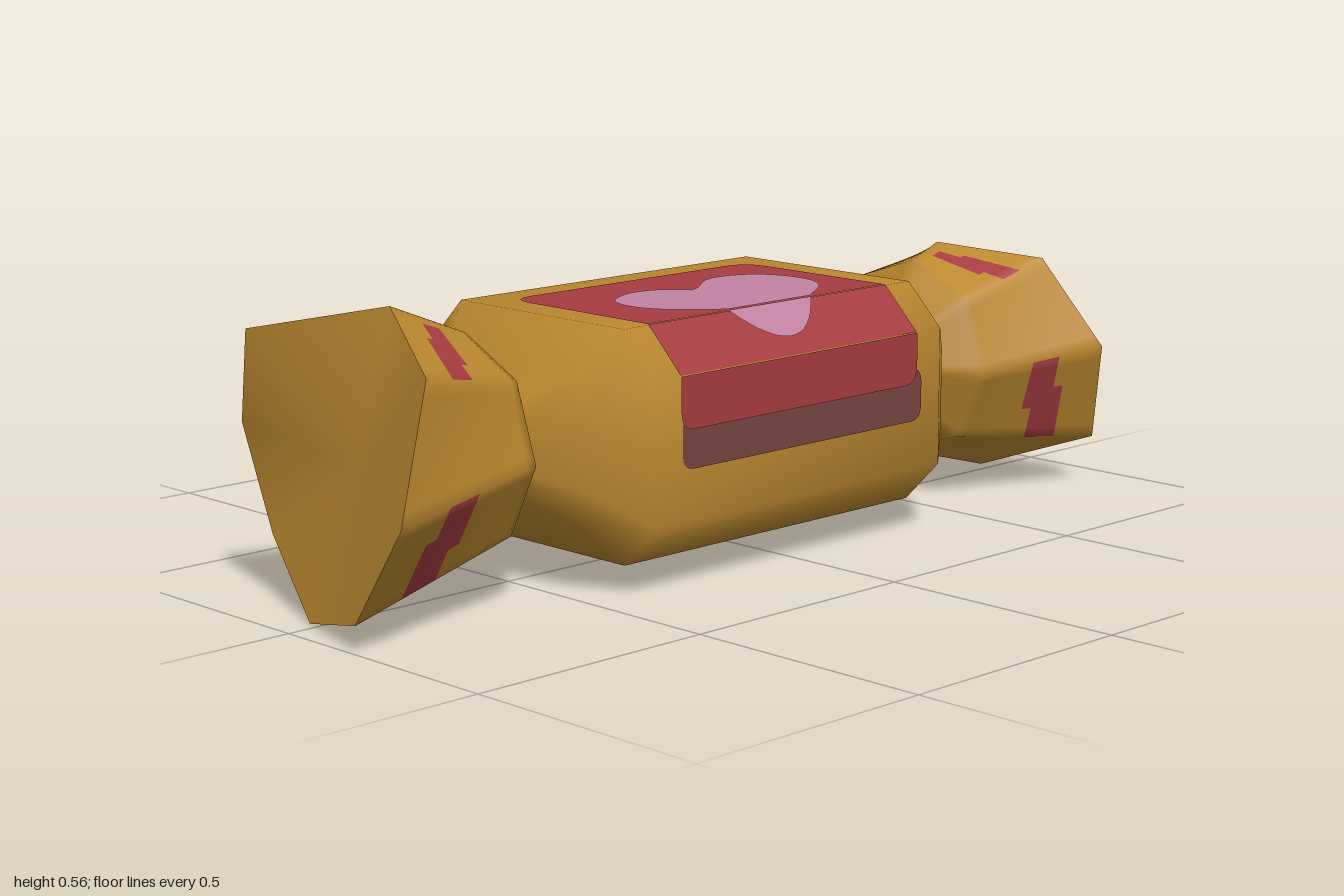
import * as THREE from 'three';

const material = (name, color, side = THREE.FrontSide) => {
  const m = new THREE.MeshStandardMaterial({ color, side });
  m.name = name;
  return m;
};
const gold = material('gold wrapper', 0xbb882f);
const red = material('red label', 0xa63c41);
const pink = material('pink print', 0xc282a4);
const shade = material('dark label border', 0x764340);

// Skin between rings of points, split in two materials by a rule
function loft(rings, flip, isMarked = () => false) {
  const n = rings[0].length, plain = [], marked = [];
  for (let j = 0; j < rings.length - 1; j++) {
    for (let i = 0; i < n; i++) {
      const k = (i + 1) % n;
      const a = j * n + i, b = j * n + k, c = a + n, d = b + n;
      const quad = flip ? [a, c, b, b, c, d] : [a, b, c, b, d, c];
      (isMarked(i, j) ? marked : plain).push(...quad);
    }
  }
  const g = new THREE.BufferGeometry();
  g.setAttribute('position', new THREE.Float32BufferAttribute(rings.flat(2), 3));
  g.setIndex([...plain, ...marked]);
  g.addGroup(0, plain.length, 0);
  g.addGroup(plain.length, marked.length, 1);
  g.computeVertexNormals();
  return g;
}

function addMesh(parent, name, geometry, mat) {
  const m = new THREE.Mesh(geometry, mat);
  m.name = name;
  parent.add(m);
  return m;
}

const CY = 0.269, CZ = -0.006, HY = 0.216, HZ = 0.304, CH = 0.082;

// Chamfered rectangle ring, running from +y towards +z
function bodyRing([x, hy, hz, c]) {
  const q = [[hy, hz - c], [hy - c, hz], [c - hy, hz], [-hy, hz - c],
    [-hy, c - hz], [c - hy, -hz], [hy - c, -hz], [hy, c - hz]];
  return q.map(([y, z]) => [x, CY + y, CZ + z]);
}

// Wrapper end: rim of eight points, folded inwards at the opening
function tail(name, dir, neckX, shoulderX, rim, capCentre) {
  const group = new THREE.Group();
  group.name = name;
  const SUB = 8, STEPS = 14, n = rim.length;
  const lerp = (a, b, t) => a.map((v, i) => v + (b[i] - v) * t);
  const circle = (x, ry, rz) => rim.map((_, i) => {
    const a = (i / n) * Math.PI * 2 + 0.07;
    return [x, 0.283 + ry * Math.cos(a), 0.017 + rz * Math.sin(a)];
  });
  const subdivide = ring => ring.flatMap((p, i) =>
    Array.from({ length: SUB }, (_, s) => lerp(p, ring[(i + 1) % n], s / SUB)));
  const shoulder = subdivide(circle(shoulderX, 0.2, 0.2));
  const edge = subdivide(rim);
  const rings = [subdivide(circle(neckX, 0.07, 0.08))];
  for (let t = 0; t <= STEPS; t++) {
    rings.push(shoulder.map((p, i) => lerp(p, edge[i], t / STEPS)));
  }
  // Four slanted dashes around the skirt
  const isDash = (i, j) => [0.55, 2.5, 4.55, 6.65].some(c => {
    const ds = (i + 0.5) / SUB - c, t = (j - 0.5) / STEPS;
    return Math.abs(ds) < 0.44 && Math.abs(t - 0.57 - ds * 0.08) < 0.12;
  });
  addMesh(group, 'skirt', loft(rings, dir < 0, isDash), [gold, red]);

  const cap = new THREE.BufferGeometry();
  cap.setAttribute('position', new THREE.Float32BufferAttribute([...rim, capCentre].flat(), 3));
  cap.setIndex(rim.flatMap((_, i) => {
    const k = (i + 1) % n;
    return dir > 0 ? [n, i, k] : [n, k, i];
  }));
  cap.computeVertexNormals();
  addMesh(group, 'foldedEnd', cap, gold);
  return group;
}

// Rectangle with separate rounding for its top and bottom corners
function rect(x0, x1, y0, y1, top = 0, bottom = 0) {
  const s = new THREE.Shape();
  s.moveTo(x0 + bottom, y0);
  s.lineTo(x1 - bottom, y0);
  s.quadraticCurveTo(x1, y0, x1, y0 + bottom);
  s.lineTo(x1, y1 - top);
  s.quadraticCurveTo(x1, y1, x1 - top, y1);
  s.lineTo(x0 + top, y1);
  s.quadraticCurveTo(x0, y1, x0, y1 - top);
  s.lineTo(x0, y0 + bottom);
  s.quadraticCurveTo(x0, y0, x0 + bottom, y0);
  return s;
}

// Flat print laid on the top, chamfer or front of the body
function print(parent, name, shape, mat, where, lift) {
  const g = new THREE.ShapeGeometry(shape, 16);
  g.translate(0, 0, lift);
  if (where === 'top') g.rotateX(-Math.PI / 2).translate(0, HY, 0);
  if (where === 'chamfer') g.rotateX(-Math.PI / 4).translate(0, HY - CH / 2, HZ - CH / 2);
  if (where === 'front') g.translate(0, 0, HZ);
  addMesh(parent, name, g, mat);
}

const FOLD = -(HZ - CH), HALF = CH * Math.SQRT1_2;

function label(name, depth) {
  const g = new THREE.Group();
  g.name = name;
  g.position.set(0, CY, CZ);
  print(g, 'labelFace', rect(-0.35, 0.28, FOLD, depth, 0.06), red, 'top', 0.002);
  print(g, 'labelFold', rect(-0.35, 0.28, -HALF, HALF), red, 'chamfer', 0.002);
  print(g, 'labelBorder', rect(-0.345, 0.295, -0.038, 0.065, 0.03, 0.03), shade, 'front', 0.002);
  print(g, 'labelSkirt', rect(-0.35, 0.28, 0.035, HY - CH, 0, 0.035), red, 'front', 0.004);
  return g;
}

export function createModel() {
  const model = new THREE.Group();
  model.name = 'wrappedSweet';

  // Body
  const sections = [[-0.55, 0.07, 0.08, 0.03], [-0.49, 0.135, 0.24, 0.06], [-0.41, HY, HZ, CH],
    [0.35, HY, HZ, CH], [0.43, 0.135, 0.24, 0.06], [0.49, 0.07, 0.08, 0.03]];
  addMesh(model, 'body', loft(sections.map(bodyRing), false), [gold, red]);

  // Twisted ends
  model.add(tail('leftTail', 1, 0.488, 0.572, [
    [0.68, 0.505, 0.0], [0.79, 0.48, 0.19], [0.85, 0.303, 0.303], [0.905, 0.098, 0.24],
    [0.78, 0.027, 0.045], [0.955, 0.063, -0.158], [1.0, 0.255, -0.258], [0.905, 0.452, -0.185],
  ], [0.79, 0.265, 0.015]));
  model.add(tail('rightTail', -1, -0.546, -0.62, [
    [-0.82, 0.558, 0.07], [-0.905, 0.47, 0.268], [-1.0, 0.235, 0.312], [-1.0, 0.05, 0.185],
    [-0.935, 0.0, -0.025], [-0.88, 0.12, -0.2], [-0.9, 0.32, -0.255], [-0.965, 0.51, -0.147],
  ], [-0.87, 0.28, 0.03]));

  // Upper label with a heart running over the fold
  const upper = label('upperLabel', 0.154);
  const heart = new THREE.Shape();
  heart.moveTo(0.07, FOLD);
  heart.bezierCurveTo(0.15, -0.17, 0.21, -0.14, 0.21, -0.06);
  heart.bezierCurveTo(0.21, 0.02, 0.16, 0.055, 0.1, 0.055);
  heart.bezierCurveTo(0.04, 0.055, 0.0, -0.015, -0.045, -0.02);
  heart.bezierCurveTo(-0.07, 0.03, -0.12, 0.045, -0.17, 0.03);
  heart.bezierCurveTo(-0.24, 0.0, -0.255, -0.03, -0.255, -0.08);
  heart.bezierCurveTo(-0.25, -0.15, -0.2, -0.18, -0.15, FOLD);
  print(upper, 'heart', heart, pink, 'top', 0.005);
  const tip = new THREE.Shape();
  tip.moveTo(-0.15, HALF);
  tip.bezierCurveTo(-0.08, -0.045, 0.0, -0.045, 0.07, HALF);
  print(upper, 'heartTip', tip, pink, 'chamfer', 0.005);
  model.add(upper);

  // Lower label, wrapping from the underside up the back
  const lower = label('lowerLabel', 0.02);
  lower.rotation.x = Math.PI;
  print(lower, 'bandFold', rect(-0.25, 0.21, -HALF, HALF, 0.04), pink, 'chamfer', 0.005);
  print(lower, 'band', rect(-0.25, 0.21, 0.075, HY - CH, 0, 0.03), pink, 'front', 0.006);
  for (const [x, y] of [[0.17, -0.15], [-0.09, -0.13]]) {
    const spot = new THREE.Shape().absellipse(x, y, 0.085, 0.06, 0, Math.PI * 2);
    print(lower, 'spot', spot, pink, 'top', 0.005);
  }
  model.add(lower);
  return model;
}
